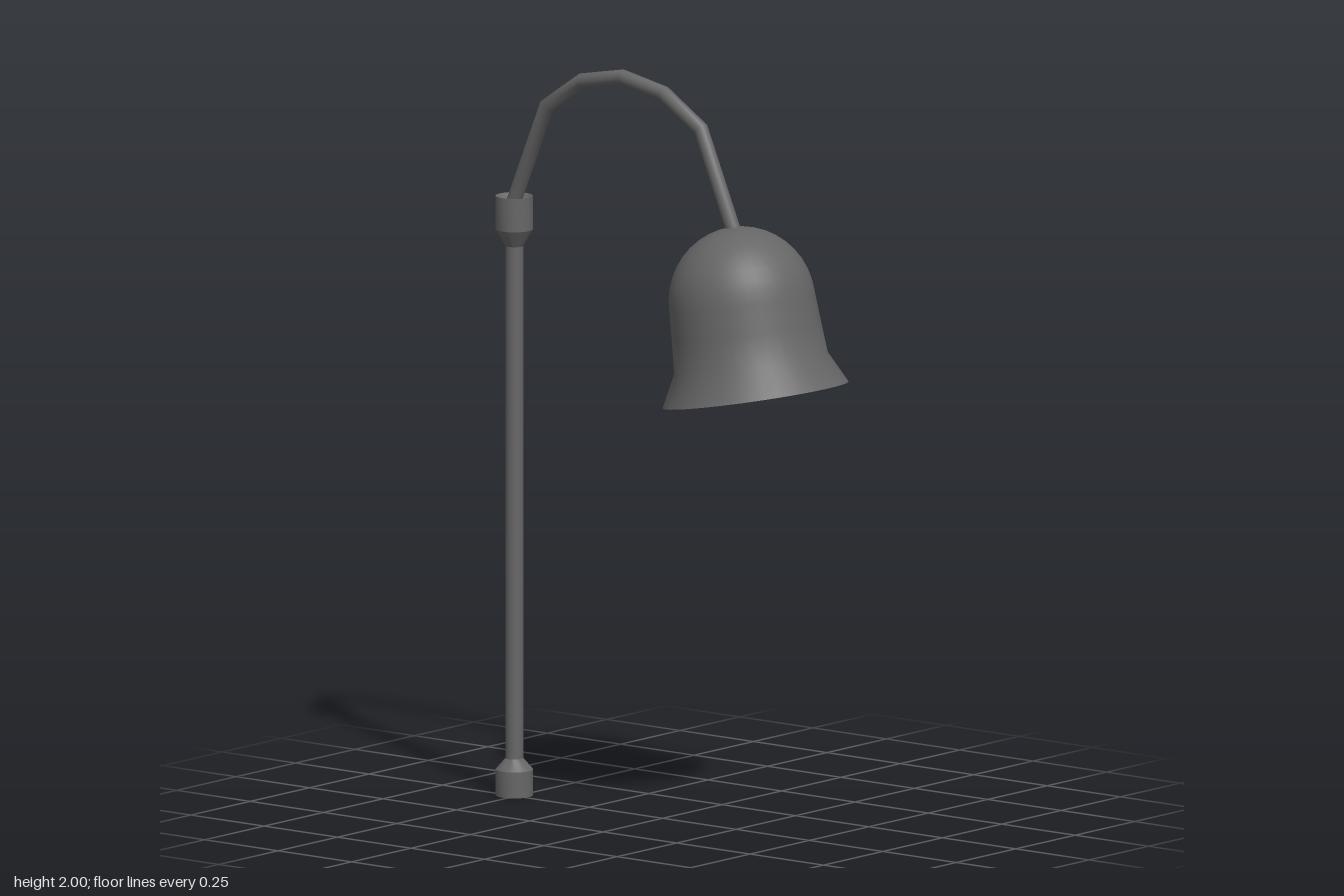
import * as THREE from 'three';
import { toCreasedNormals } from 'three/addons/utils/BufferGeometryUtils.js';

// Straight runs between points, with mitred joints
class Polyline extends THREE.Curve {
  constructor(points) {
    super();
    this.points = points;
  }
  getPointAt(u) {
    const n = this.points.length - 1;
    const i = Math.min(Math.floor(u * n + 1e-6), n - 1);
    return this.points[i].clone().lerp(this.points[i + 1], u * n - i);
  }
  getPoint(u) {
    return this.getPointAt(u);
  }
  getTangentAt(u) {
    const n = this.points.length - 1;
    const i = Math.round(u * n);
    const dir = (a) => this.points[a + 1].clone().sub(this.points[a]).normalize();
    return dir(Math.max(i - 1, 0)).add(dir(Math.min(i, n - 1))).normalize();
  }
}

const lathe = (profile, sides) =>
  new THREE.LatheGeometry(profile.map(([r, y]) => new THREE.Vector2(r, y)), sides);

export function createModel() {
  const lamp = new THREE.Group();
  lamp.name = 'streetLamp';
  const greyMetal = new THREE.MeshStandardMaterial({ color: 0x666666, side: THREE.DoubleSide });
  greyMetal.name = 'greyMetal';

  const add = (name, geometry, x, y, z) => {
    const mesh = new THREE.Mesh(geometry, greyMetal);
    mesh.name = name;
    mesh.position.set(x, y, z);
    lamp.add(mesh);
    return mesh;
  };

  // Post with a collar at each end
  const postX = -0.513, postZ = -0.01;
  add('post', new THREE.CylinderGeometry(0.024, 0.024, 1.44, 16, 1, true), postX, 0.79, postZ);
  const base = [[0, 0], [0.05, 0], [0.05, 0.07], [0.024, 0.1]];
  const collar = [[0.024, 1.48], [0.05, 1.525], [0.05, 1.615], [0.034, 1.6], [0, 1.6]];
  add('baseCollar', toCreasedNormals(lathe(base, 20), 0.5), postX, 0, postZ);
  add('topCollar', toCreasedNormals(lathe(collar, 20), 0.5), postX, 0, postZ);

  // Curved arm
  const armPoints = [
    [-0.513, 1.6], [-0.4, 1.872], [-0.28, 1.953], [-0.14, 1.98],
    [0, 1.953], [0.128, 1.872], [0.245, 1.6],
  ].map(([x, y], i) => new THREE.Vector3(x, y, -0.008 + i * 0.001));
  add('arm', new THREE.TubeGeometry(new Polyline(armPoints), 6, 0.02, 12, false), 0, 0, 0);

  // Bell shade, open below, tilted outward
  const bell = [[0.249, 0], [0.206, 0.085], [0.2, 0.17]];
  for (let i = 0; i <= 10; i++) {
    const a = (i / 10) * Math.PI / 2;
    bell.push([0.195 * Math.cos(a), 0.25 + 0.2 * Math.sin(a)]);
  }
  const shade = add('shade', lathe(bell, 40), 0.315, 1.178, -0.002);
  shade.rotation.z = 0.185;

  return lamp;
}
